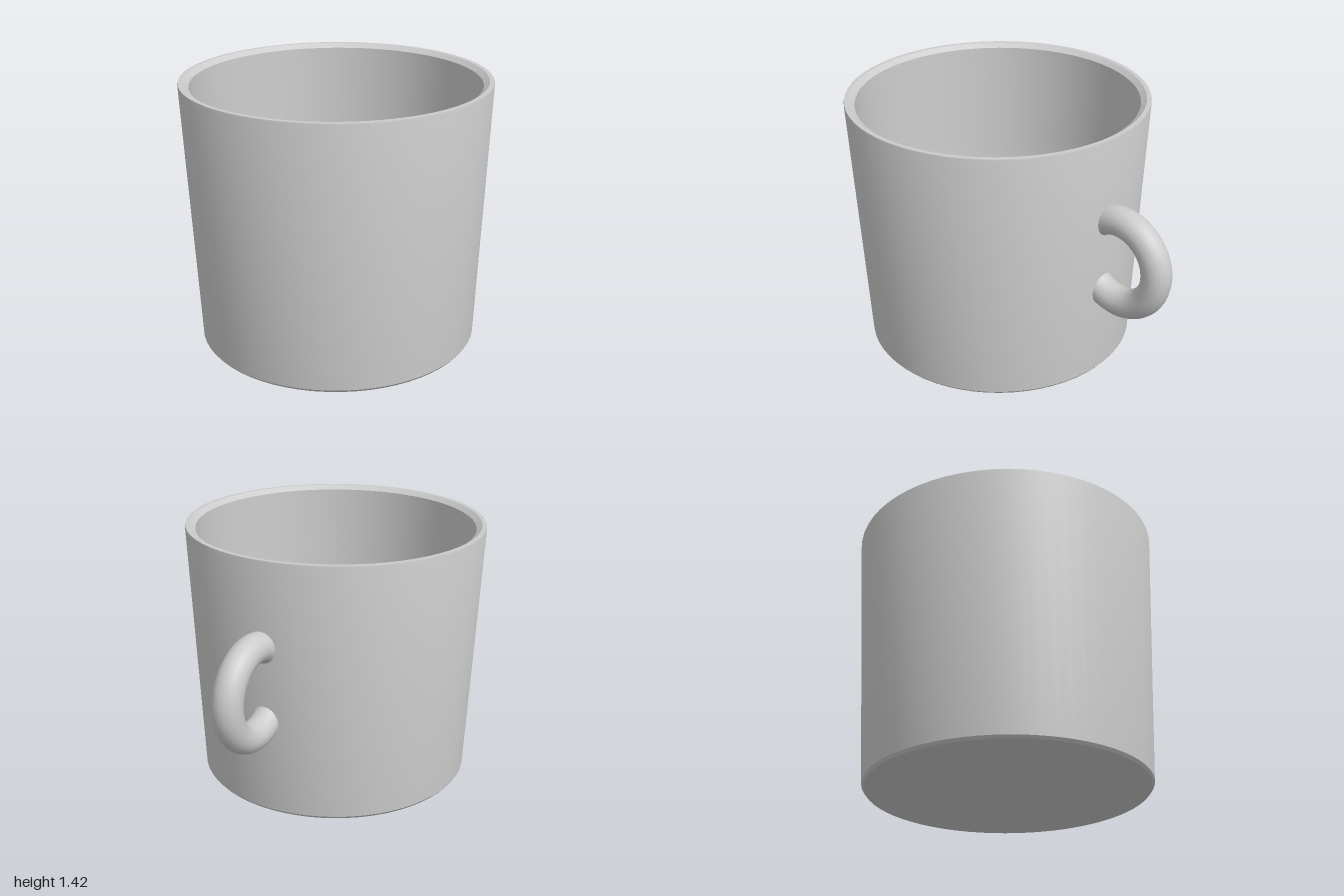
import * as THREE from 'three';
import { toCreasedNormals } from 'three/addons/utils/BufferGeometryUtils.js';

const AXIS_X = -0.187; // the cup is offset so that the handle fits the frame

function lathe(points, crease) {
  const profile = points.map(([r, y]) => new THREE.Vector2(r, y));
  return toCreasedNormals(new THREE.LatheGeometry(profile, 64), crease);
}

export function createModel() {
  const group = new THREE.Group();
  const grey = new THREE.MeshStandardMaterial({ color: 0xcccccc });
  const add = (name, geometry, material, x, y) => {
    const mesh = new THREE.Mesh(geometry, material);
    mesh.name = name;
    mesh.position.set(x, y, 0);
    group.add(mesh);
  };

  // Tapered outer shell: base, small bottom bevel, wall and rim
  add('outerShell', lathe([
    [0, 0], [0.735, 0], [0.747, 0.015], [0.81, 1.41],
    [0.808, 1.417], [0.785, 1.417], [0.755, 1.395],
  ], 0.5), grey, AXIS_X, 0);

  // Inner wall, rounding smoothly into the floor
  const inner = new THREE.SplineCurve([
    [0.755, 1.395], [0.74, 1.0], [0.72, 0.6], [0.66, 0.34], [0.54, 0.19], [0.35, 0.11],
  ].map(([r, y]) => new THREE.Vector2(r, y)));
  add('innerWall', lathe(inner.getPoints(24).map((p) => [p.x, p.y]), 1), grey, AXIS_X, 0);

  // Tinted disc at the bottom of the inside
  const disc = new THREE.CircleGeometry(0.352, 64).rotateX(-Math.PI / 2);
  add('floorDisc', disc, new THREE.MeshStandardMaterial({ color: 0x9e9b91 }), AXIS_X, 0.112);

  // Ring handle passing through the wall
  add('handle', new THREE.TorusGeometry(0.233, 0.079, 20, 64), grey, 0.687, 0.742);

  return group;
}
